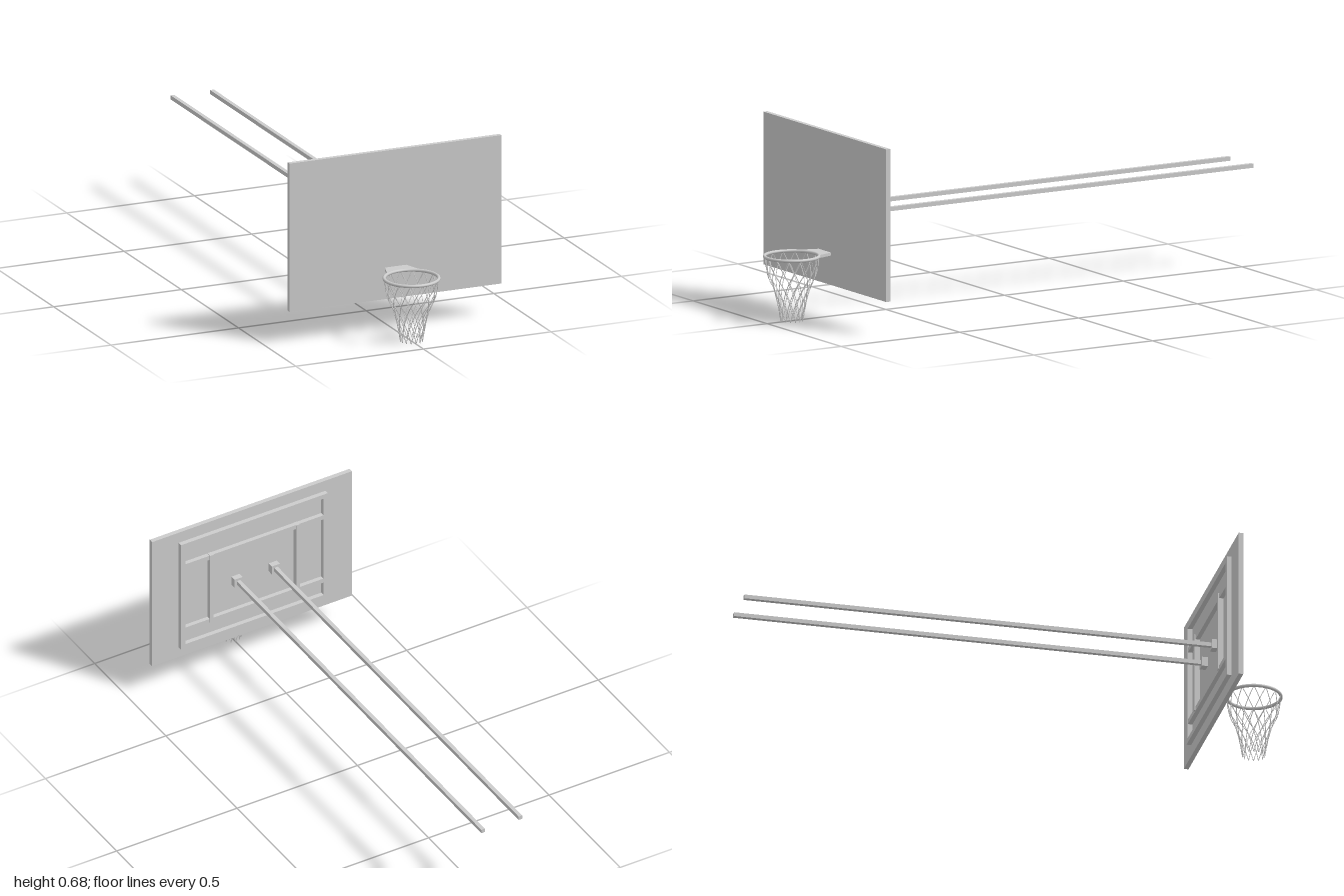
import * as THREE from 'three';
import { mergeGeometries } from 'three/addons/utils/BufferGeometryUtils.js';

const material = new THREE.MeshStandardMaterial({ color: 0xcccccc });

export function createModel() {
  const model = new THREE.Group();
  model.name = 'basketballHoop';

  const add = (name, geometry, parent = model) => {
    const mesh = new THREE.Mesh(geometry, material);
    mesh.name = name;
    parent.add(mesh);
    return mesh;
  };
  // Box given by its limits on each axis
  const box = (name, x0, x1, y0, y1, z0, z1, parent) =>
    add(name, new THREE.BoxGeometry(x1 - x0, y1 - y0, z1 - z0), parent)
      .position.set((x0 + x1) / 2, (y0 + y1) / 2, (z0 + z1) / 2);

  box('backboard', -0.415, 0.415, 0.124, 0.68, 0.74, 0.757);

  // Rear frame: outer rectangle, two rails and two uprights
  const frame = new THREE.Group();
  frame.name = 'rearFrame';
  model.add(frame);
  const w = 0.018, fx = 0.305, y0 = 0.168, y1 = 0.635, zb = 0.723;
  box('frameBottom', -fx, fx, y0, y0 + w, zb, 0.74, frame);
  box('frameTop', -fx, fx, y1 - w, y1, zb, 0.74, frame);
  for (const y of [0.25, 0.533]) {
    box('frameRail', -fx + w, fx - w, y - w / 2, y + w / 2, zb + 0.001, 0.74, frame);
  }
  for (const s of [-1, 1]) {
    const sx = s * (fx - w / 2), ux = s * 0.179;
    box('frameSide', sx - w / 2, sx + w / 2, y0 + w, y1 - w, zb, 0.74, frame);
    box('frameUpright', ux - 0.007, ux + 0.007, 0.245, 0.543, 0.72, 0.74, frame);
  }

  // Two long support poles with mounting blocks
  for (const x of [-0.086, 0.069]) {
    box('supportPole', x - 0.0075, x + 0.0075, 0.375, 0.39, -1, 0.725);
    box('poleMount', x - 0.017, x + 0.017, 0.365, 0.4, 0.718, 0.74);
  }

  // Rim
  const cz = 0.896, R = 0.098;
  const rim = add('rim', new THREE.TorusGeometry(R, 0.006, 12, 64).rotateX(Math.PI / 2));
  rim.position.set(0, 0.237, cz);

  // Flared bracket plate, hollowed to follow the rim
  const plate = new THREE.Shape();
  const a = 0.68;
  plate.moveTo(-0.042, 0.757);
  plate.lineTo(0.042, 0.757);
  plate.absarc(0, cz, R, -Math.PI / 2 + a, -Math.PI / 2 - a, true);
  plate.closePath();
  add('rimBracket', new THREE.ExtrudeGeometry(plate, { depth: 0.011, bevelEnabled: false, curveSegments: 16 })
    .rotateX(Math.PI / 2)).position.y = 0.2425;

  // Net: strands spiralling both ways down a tapering profile
  const profile = new THREE.CatmullRomCurve3(
    [[0.098, 0.236], [0.087, 0.17], [0.064, 0.115], [0.05, 0.06], [0.04, 0.002]]
      .map(([r, y]) => new THREE.Vector3(r, y, 0)));
  const strands = 14, rows = 6, strandGeometries = [];
  const twist = rows * 2 * Math.PI / strands;
  for (let i = 0; i < strands; i++) {
    for (const dir of [-1, 1]) {
      const points = [];
      for (let k = 0; k <= 24; k++) {
        const p = profile.getPoint(k / 24);
        const t = i * 2 * Math.PI / strands + dir * twist * k / 48;
        points.push(new THREE.Vector3(p.x * Math.sin(t), p.y, p.x * Math.cos(t)));
      }
      strandGeometries.push(new THREE.TubeGeometry(new THREE.CatmullRomCurve3(points), 36, 0.0014, 5));
    }
  }
  add('net', mergeGeometries(strandGeometries)).position.z = cz;

  return model;
}
